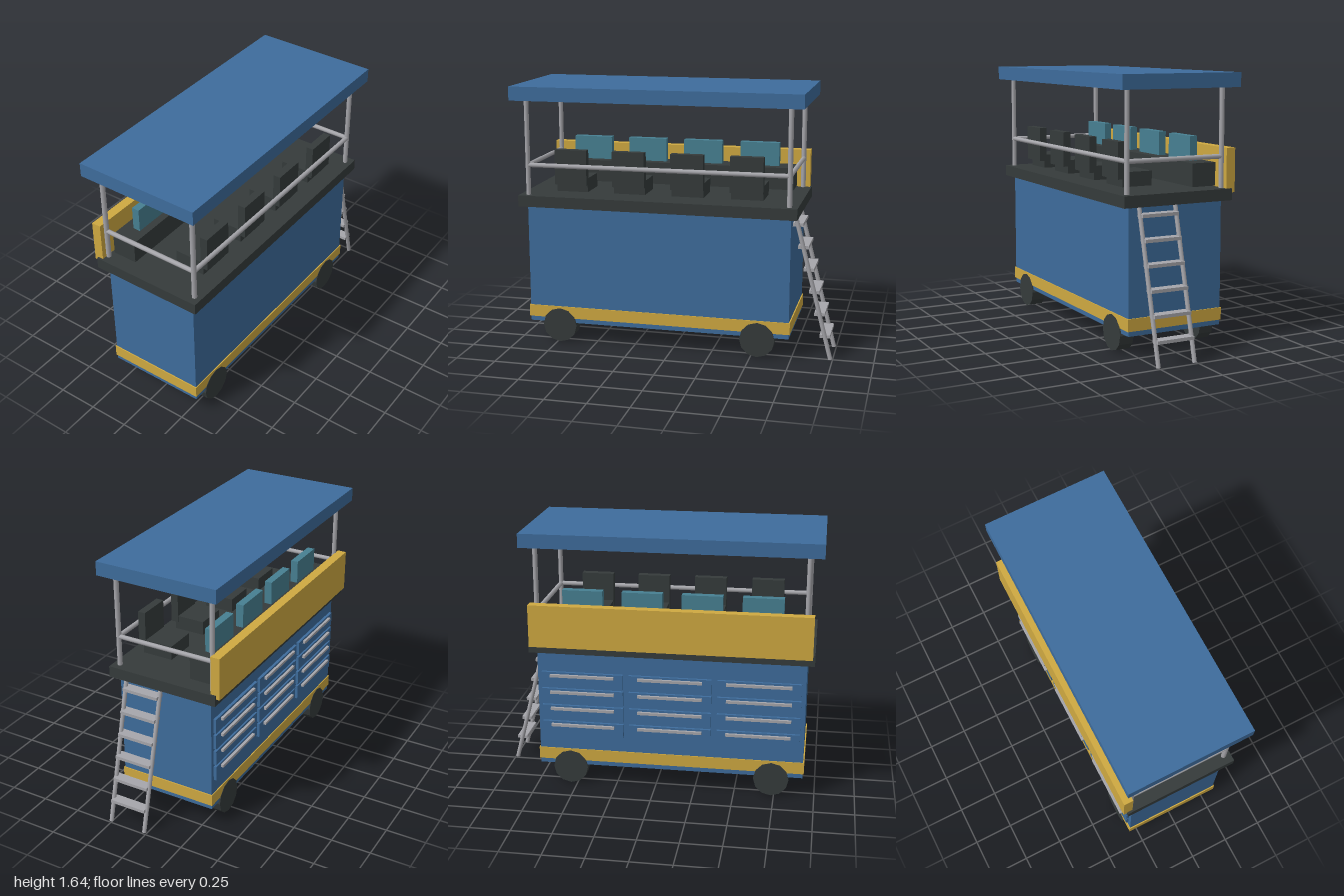
import * as THREE from 'three';

const material = (name, color) => {
  const m = new THREE.MeshStandardMaterial({ color });
  m.name = name;
  return m;
};

export function createModel() {
  const model = new THREE.Group();
  model.name = 'partyWagon';
  const blue = material('blue', 0x3e6c9c);
  const yellow = material('yellow', 0xcfa941);
  const dark = material('charcoal', 0x353b3b);
  const grey = material('metalGrey', 0xa6a6ab);
  const teal = material('teal', 0x478092);

  const add = (name, geometry, mat) => {
    const mesh = new THREE.Mesh(geometry, mat);
    mesh.name = name;
    model.add(mesh);
    return mesh;
  };
  // box given by its min and max on each axis
  const box = (name, mat, [x0, x1], [y0, y1], [z0, z1]) => {
    const mesh = add(name, new THREE.BoxGeometry(x1 - x0, y1 - y0, z1 - z0), mat);
    mesh.position.set((x0 + x1) / 2, (y0 + y1) / 2, (z0 + z1) / 2);
  };
  // round bar between two points
  const bar = (name, mat, a, b, r, sides = 8) => {
    const p = new THREE.Vector3(...a), q = new THREE.Vector3(...b);
    const d = q.clone().sub(p);
    const mesh = add(name, new THREE.CylinderGeometry(r, r, d.length(), sides), mat);
    mesh.position.copy(p).add(q).multiplyScalar(0.5);
    mesh.quaternion.setFromUnitVectors(new THREE.Vector3(0, 1, 0), d.normalize());
  };

  const cx = -0.095; // middle of the wagon; the ladder sticks out on +x

  // hull, trim, deck and roof
  box('body', blue, [-0.925, 0.735], [0.13, 0.89], [-0.31, 0.31]);
  box('trimBand', yellow, [-0.932, 0.742], [0.16, 0.235], [-0.316, 0.316]);
  box('deck', dark, [-0.97, 0.777], [0.885, 0.955], [-0.36, 0.36]);
  box('roof', blue, [-1, 0.81], [1.55, 1.636], [-0.39, 0.39]);
  box('backPanel', yellow, [-0.957, 0.767], [0.93, 1.195], [-0.385, -0.326]);

  // wheels
  for (const x of [-0.73, 0.54]) {
    for (const s of [-1, 1]) {
      const geo = new THREE.CylinderGeometry(0.11, 0.11, 0.09, 12).rotateX(Math.PI / 2);
      const wheel = add('wheel', geo, dark);
      wheel.position.set(x, 0.113, s * 0.2735);
      wheel.material.flatShading = true;
    }
  }

  // posts and railing
  const postX = [-0.915, 0.725], postZ = 0.316;
  for (const x of postX) {
    for (const s of [-1, 1]) bar('post', grey, [x, 0.95, s * postZ], [x, 1.555, s * postZ], 0.0155);
    bar('sideRail', grey, [x, 1.143, -postZ], [x, 1.143, postZ], 0.0145);
  }
  bar('frontRail', grey, [postX[0], 1.143, postZ], [postX[1], 1.143, postZ], 0.0145);

  // bench with cushions, and a row of chairs facing it
  box('bench', dark, [-0.88, 0.686], [0.965, 1.105], [-0.3, -0.143]);
  for (let i = 0; i < 4; i++) {
    const x = -0.648 + i * 0.369;
    box('cushion', teal, [x - 0.125, x + 0.125], [1.108, 1.256], [-0.235, -0.187]);
    box('chairSeat', dark, [x - 0.1, x + 0.1], [0.974, 1.061], [0.06, 0.255]);
    box('chairBack', dark, [x - 0.102, x + 0.102], [1.02, 1.24], [0.238, 0.286]);
  }

  // drawers on the back
  for (let col = -1; col <= 1; col++) {
    for (let row = 0; row < 4; row++) {
      const x = cx + col * 0.548, y = 0.705 - row * 0.1095;
      box('drawer', blue, [x - 0.256, x + 0.256], [y - 0.047, y + 0.047], [-0.328, -0.305]);
      box('drawerHandle', grey, [x - 0.2, x + 0.2], [y + 0.018, y + 0.035], [-0.345, -0.325]);
    }
  }

  // ladder
  for (const z of [0.017, 0.254]) {
    bar('ladderRail', grey, [0.986, 0.004, z], [0.755, 0.892, z], 0.0135);
  }
  for (let i = 0; i < 6; i++) {
    const x = 0.949 - i * 0.0358, y = 0.147 + i * 0.138;
    box('ladderRung', grey, [x - 0.032, x + 0.032], [y - 0.01, y + 0.01], [0.017, 0.254]);
  }
  return model;
}
